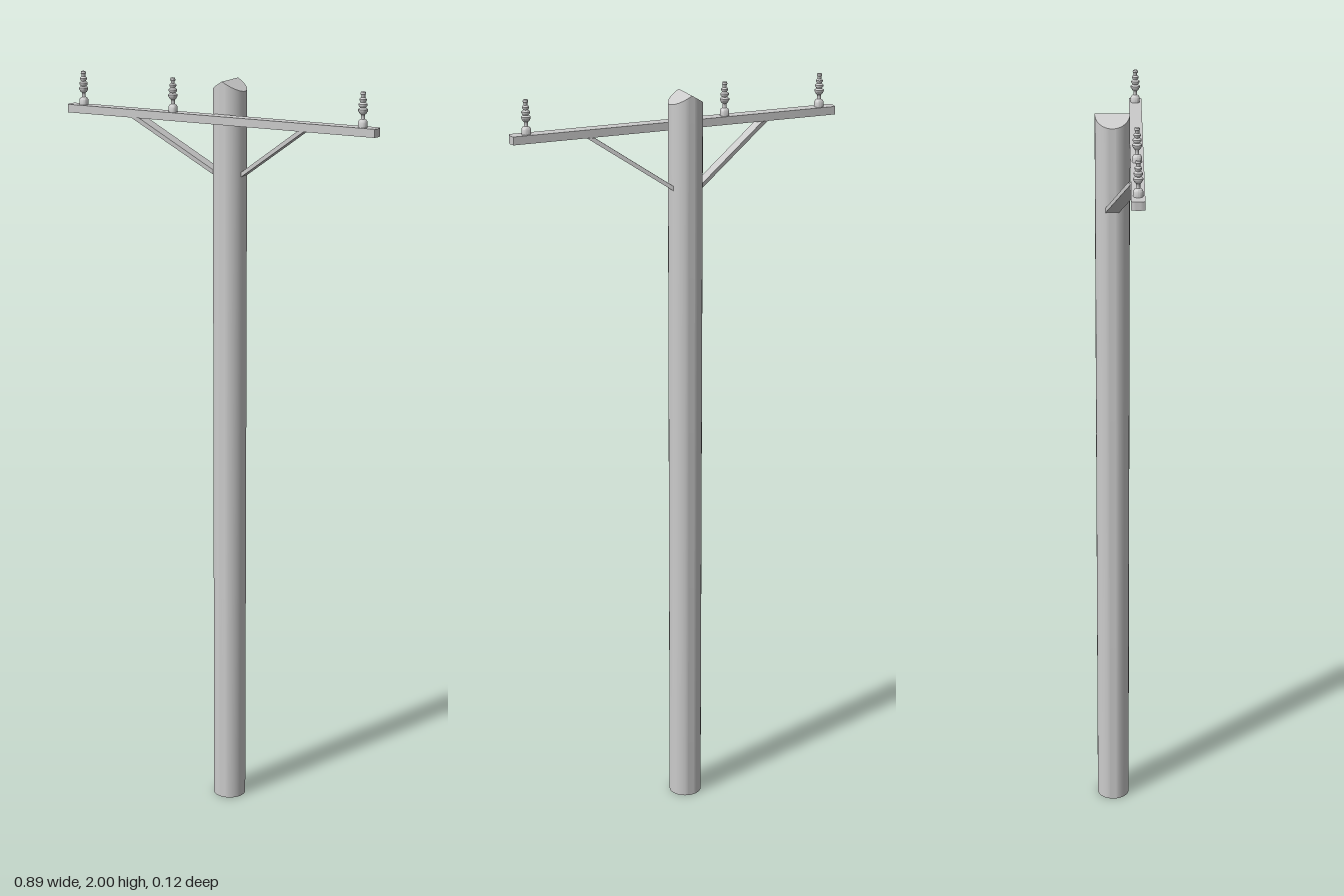
import * as THREE from 'three';
import { toCreasedNormals } from 'three/addons/utils/BufferGeometryUtils.js';

const POLE_Z = -0.018, POLE_R = 0.044;
const ARM_Z = 0.0425, ARM_BOTTOM = 1.891, ARM_TOP = 1.912;

export function createModel() {
  const model = new THREE.Group();
  const grey = new THREE.MeshStandardMaterial({ color: 0xcccccc });

  const add = (name, geometry, parent = model) => {
    const mesh = new THREE.Mesh(geometry, grey);
    mesh.name = name;
    parent.add(mesh);
    return mesh;
  };

  // Round pole whose top is cut to a ridge running front to back
  const pole = new THREE.CylinderGeometry(POLE_R, POLE_R, 1.995, 32);
  pole.translate(0, 1.995 / 2, 0);
  const p = pole.attributes.position;
  for (let i = 0; i < p.count; i++) {
    if (p.getY(i) > 1) p.setY(i, 1.995 - 0.6 * Math.abs(p.getX(i)));
  }
  add('pole', toCreasedNormals(pole, 0.45)).position.z = POLE_Z;

  // Crossarm: a plan outline with gently bowed ends, raised to its thickness
  const w = 0.0165, end = 0.439;
  const plan = new THREE.Shape();
  plan.moveTo(-end, -w);
  plan.lineTo(end, -w);
  plan.quadraticCurveTo(end + 0.008, 0, end, w);
  plan.lineTo(-end, w);
  plan.quadraticCurveTo(-end - 0.008, 0, -end, -w);
  const arm = new THREE.ExtrudeGeometry(plan, {
    depth: ARM_TOP - ARM_BOTTOM, bevelEnabled: false, curveSegments: 6,
  });
  arm.rotateX(-Math.PI / 2);
  add('crossarm', toCreasedNormals(arm, 0.5)).position.set(0, ARM_BOTTOM, ARM_Z);

  // Flat braces: front outline extruded, then slanted back towards the pole
  const inner = 0.036, outer = 0.247;
  for (const side of [1, -1]) {
    const outline = new THREE.Shape([
      [inner, 1.748], [outer, 1.891], [outer - 0.019, 1.891], [inner, 1.76],
    ].map(([x, y]) => new THREE.Vector2(side * x, y)));
    const brace = new THREE.ExtrudeGeometry(outline, { depth: 0.034, bevelEnabled: false });
    const b = brace.attributes.position;
    for (let i = 0; i < b.count; i++) {
      const t = (Math.abs(b.getX(i)) - inner) / (outer - inner);
      b.setZ(i, b.getZ(i) + THREE.MathUtils.lerp(-0.037, 0.026, t));
    }
    brace.computeVertexNormals();
    add(side > 0 ? 'leftBrace' : 'rightBrace', brace);
  }

  // Insulators: mounting foot, thin pin, ribbed body and cap
  const profile = [
    [0, 0], [0.012, 0], [0.012, 0.013], [0.009, 0.018], [0.005, 0.02],
    [0.005, 0.031], [0.008, 0.033], [0.012, 0.04], [0.012, 0.044],
    [0.007, 0.048], [0.011, 0.053], [0.011, 0.057], [0.006, 0.061],
    [0.009, 0.066], [0.009, 0.069], [0.005, 0.073], [0.005, 0.078],
    [0.007, 0.081], [0.006, 0.086], [0, 0.088],
  ].map(([r, y]) => new THREE.Vector2(r, y));
  const insulator = toCreasedNormals(new THREE.LatheGeometry(profile, 16), 0.7);
  const insulators = new THREE.Group();
  insulators.name = 'insulators';
  for (const x of [-0.4, -0.133, 0.4]) {
    add('insulator', insulator, insulators).position.set(x, ARM_TOP, ARM_Z);
  }
  model.add(insulators);

  return model;
}
